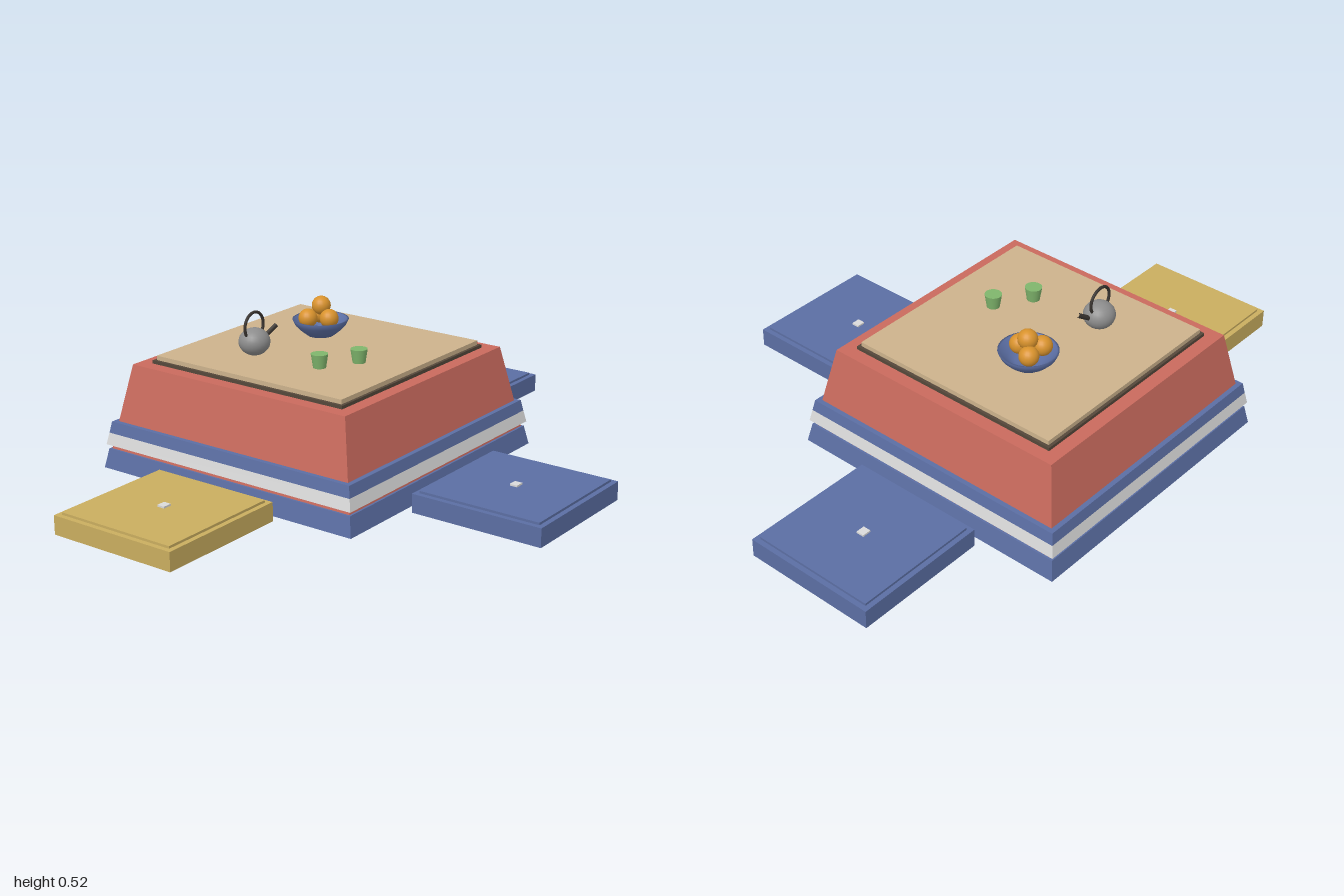
import * as THREE from 'three';

const colours = {
  red: 0xc96a5d, blue: 0x5b6ea3, white: 0xdadada, tan: 0xccb28c, darkWood: 0x54473a,
  yellow: 0xc9ad5f, green: 0x7fb56c, orange: 0xd8922c, grey: 0x8c8c8c, black: 0x38332f,
};

export function createModel() {
  const model = new THREE.Group();
  const mats = {};
  for (const [name, color] of Object.entries(colours)) {
    mats[name] = new THREE.MeshStandardMaterial({ color });
    mats[name].name = name;
  }

  const add = (parent, name, geo, mat, x = 0, y = 0, z = 0) => {
    const mesh = new THREE.Mesh(geo, mats[mat]);
    mesh.name = name;
    mesh.position.set(x, y, z);
    parent.add(mesh);
    return mesh;
  };
  const group = (name, x, y, z) => {
    const g = new THREE.Group();
    g.name = name;
    g.position.set(x, y, z);
    model.add(g);
    return g;
  };
  // square block with sloping sides, from height y0 to y1
  const frustum = (halfBottom, halfTop, y0, y1) => {
    const geo = new THREE.CylinderGeometry(halfTop * Math.SQRT2, halfBottom * Math.SQRT2, y1 - y0, 4)
      .rotateY(Math.PI / 4).translate(0, (y0 + y1) / 2, 0).toNonIndexed();
    geo.computeVertexNormals();
    return geo;
  };

  // heated table with its quilt and stripes
  const table = group('table', 0, 0, -0.25);
  add(table, 'quilt', frustum(0.487, 0.43, 0.06, 0.35), 'red');
  add(table, 'quiltHem', frustum(0.506, 0.493, 0, 0.065), 'blue');
  add(table, 'whiteStripe', frustum(0.499, 0.491, 0.08, 0.12), 'white');
  add(table, 'blueStripe', frustum(0.491, 0.484, 0.12, 0.158), 'blue');
  add(table, 'boardEdge', frustum(0.385, 0.385, 0.35, 0.361), 'darkWood');
  add(table, 'tableTop', frustum(0.375, 0.375, 0.361, 0.376), 'tan');

  // floor cushions
  for (const [name, mat, x, z] of [
    ['leftCushion', 'blue', 0.768, -0.25],
    ['rightCushion', 'yellow', -0.768, -0.25],
    ['frontCushion', 'blue', 0, 0.518],
  ]) {
    const cushion = group(name, x, 0, z);
    add(cushion, 'pad', frustum(0.232, 0.232, 0, 0.063), mat);
    add(cushion, 'padTop', frustum(0.215, 0.215, 0.063, 0.071), mat);
    add(cushion, 'button', new THREE.BoxGeometry(0.03, 0.006, 0.027), 'white', 0, 0.074, 0);
  }

  // fruit bowl
  const bowl = group('fruitBowl', 0.125, 0.376, -0.34);
  const profile = [[0, 0], [0.045, 0], [0.07, 0.02], [0.087, 0.038], [0.095, 0.056],
    [0.088, 0.056], [0.065, 0.027], [0.04, 0.012], [0, 0.012]]
    .map(([r, y]) => new THREE.Vector2(r, y));
  add(bowl, 'bowl', new THREE.LatheGeometry(profile, 32), 'blue');
  for (const [x, y, z] of [[-0.038, 0.062, -0.024], [0.032, 0.062, -0.028], [0, 0.062, 0.036], [0.007, 0.1, -0.002]]) {
    add(bowl, 'orange', new THREE.SphereGeometry(0.032, 20, 14), 'orange', x, y, z);
  }

  // kettle with hoop handle and spout
  const kettle = group('kettle', -0.18, 0.376, -0.375);
  add(kettle, 'kettleBody', new THREE.SphereGeometry(0.052, 24, 16), 'grey', 0, 0.045, 0).scale.y = 0.87;
  add(kettle, 'handle', new THREE.TorusGeometry(0.046, 0.005, 8, 32), 'black', 0, 0.097, 0);
  const spoutPath = new THREE.LineCurve3(new THREE.Vector3(0.04, 0.048, 0.004), new THREE.Vector3(0.092, 0.081, 0.016));
  add(kettle, 'spout', new THREE.TubeGeometry(spoutPath, 1, 0.008, 10), 'black');
  const tip = add(kettle, 'spoutTip', new THREE.CircleGeometry(0.008, 10), 'black', 0.092, 0.081, 0.016);
  tip.lookAt(spoutPath.getPoint(2));

  // tea cups
  for (const [x, z] of [[-0.163, -0.122], [-0.047, -0.052]]) {
    add(model, 'cup', new THREE.CylinderGeometry(0.028, 0.021, 0.046, 24), 'green', x, 0.399, z);
  }
  return model;
}
